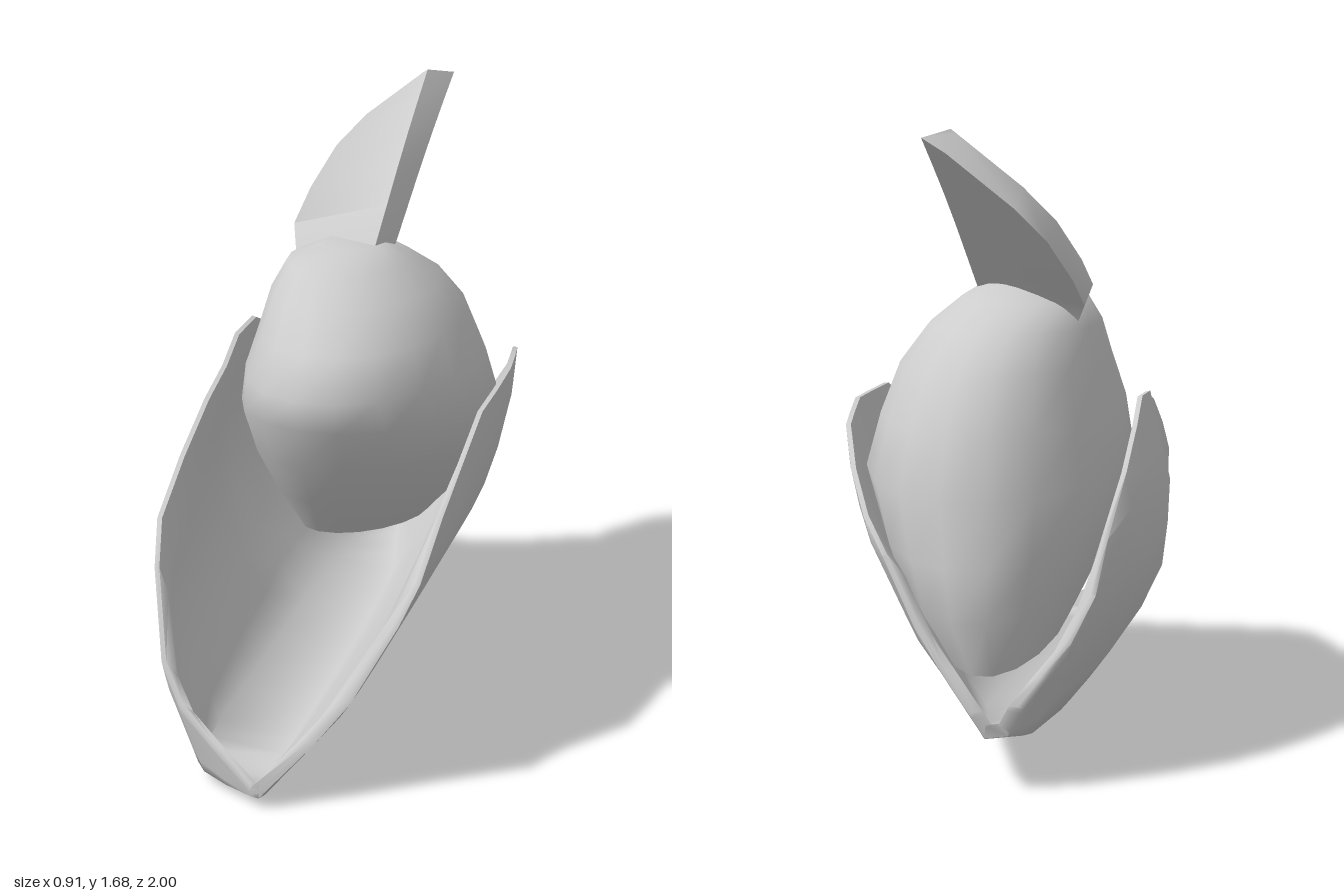
import * as THREE from 'three';
import { toCreasedNormals } from 'three/addons/utils/BufferGeometryUtils.js';

// Piecewise-linear lookup in a list of [key, value] pairs with rising keys
function lookup(table, k) {
  if (k <= table[0][0]) return table[0][1];
  for (let i = 1; i < table.length; i++) {
    const [k0, v0] = table[i - 1], [k1, v1] = table[i];
    if (k <= k1) return v0 + ((v1 - v0) * (k - k0)) / (k1 - k0);
  }
  return table[table.length - 1][1];
}

// Skin a list of closed rings; the ends can be closed by strips across the ring
function loft(rings, capStart, capEnd, crease) {
  const n = rings[0].length, index = [];
  for (let i = 0; i < rings.length - 1; i++) {
    for (let j = 0; j < n; j++) {
      const a = i * n + j, b = i * n + ((j + 1) % n), c = a + n, d = b + n;
      index.push(a, c, b, b, c, d);
    }
  }
  const last = (rings.length - 1) * n;
  for (let j = 0; j < n / 2 - 1; j++) {
    const p = j, q = j + 1, r = n - 2 - j, s = n - 1 - j;
    if (capStart) index.push(p, q, r, p, r, s);
    if (capEnd) index.push(last + p, last + r, last + q, last + p, last + s, last + r);
  }
  const g = new THREE.BufferGeometry();
  g.setAttribute('position', new THREE.Float32BufferAttribute(rings.flat(2), 3));
  g.setIndex(index);
  return toCreasedNormals(g, crease);
}

// Brim: a long trough with both sides folded up, cut to a curved top edge
function brimGeometry() {
  const floorY = [[-1, 0.14], [-0.9, 0.11], [-0.5, 0.065], [0, 0.03], [0.4, 0.01], [0.7, 0], [0.93, 0.01], [1, 0.03]];
  const sides = [
    { // model's right flap
      sign: -1,
      top: [[-1, 0.22], [-0.95, 0.34], [-0.8, 0.63], [-0.6, 0.85], [-0.4, 0.95], [-0.2, 0.94], [0.2, 0.86], [0.6, 0.68], [0.75, 0.52], [0.87, 0.25], [1, 0.05]],
      floor: [[-1, -0.14], [-0.9, -0.18], [-0.5, -0.2], [0.6, -0.2], [0.87, -0.17], [1, 0.03]],
      flare: [[0, 0], [0.21, 0.16], [0.38, 0.24], [0.6, 0.26], [0.9, 0.19]],
      scale: [[-1, 0.7], [-0.83, 0.7], [-0.65, 0.85], [-0.47, 1], [-0.2, 1], [0.05, 0.8], [0.6, 0.62], [0.87, 0.5]],
    },
    { // model's left flap
      sign: 1,
      top: [[-1, 0.2], [-0.97, 0.3], [-0.87, 0.58], [-0.8, 0.67], [-0.52, 0.87], [-0.2, 0.9], [0.2, 0.89], [0.63, 0.73], [0.73, 0.57], [0.84, 0.49], [0.89, 0.28], [1, 0.05]],
      floor: [[-1, -0.08], [-0.5, 0.02], [0, 0.035], [0.6, 0.04], [1, 0.05]],
      flare: [[0, 0], [0.25, 0.21], [0.52, 0.36], [0.72, 0.41], [0.9, 0.42]],
      scale: [[-1, 0.8], [-0.88, 0.8], [-0.78, 0.88], [-0.5, 0.92], [-0.2, 1], [1, 1]],
    },
  ];
  const stations = [1, 0.94, 0.89, 0.84, 0.73, 0.63, 0.42, 0.2, 0, -0.2, -0.37, -0.52, -0.66, -0.8, -0.87, -0.93, -0.97, -1];
  const steps = 7, thickness = 0.035;
  const rings = stations.map((z) => {
    const floorX = sides.map((s) => lookup(s.floor, z));
    // the floor rises slightly towards the model's right
    const lift = [0.14 * (floorX[1] - floorX[0]), 0];
    const [a, b] = sides.map((s, k) => {
      const y0 = lookup(floorY, z) + lift[k];
      const h = Math.max(lookup(s.top, z) - y0, 0.005), pts = [];
      for (let i = 0; i <= steps; i++) {
        const y = (h * i) / steps;
        pts.push([floorX[k] + s.sign * lookup(s.scale, z) * lookup(s.flare, y), y0 + y]);
      }
      return pts;
    });
    const outer = [...a.reverse(), ...b];
    const end = outer.length - 1;
    const inner = outer.map(([x, y], i) => {
      const p = outer[Math.max(i - 1, 0)], q = outer[Math.min(i + 1, end)];
      const dx = q[0] - p[0], dy = q[1] - p[1], len = Math.hypot(dx, dy) || 1;
      // thin out at the rim
      const t = i === 0 || i === end ? thickness * 0.4 : thickness;
      return [x - (dy / len) * t, y + (dx / len) * t];
    });
    return [...outer, ...inner.reverse()].map(([x, y]) => [x, y, z]);
  });
  return loft(rings, true, true, 1.3);
}

// Crown: oval rings leaning forward as they rise, open underneath
function crownGeometry() {
  // [y, rise towards the front, centre x, half width, back z, front z]
  const rows = [
    [0.345, 0.085, -0.04, 0.165, -0.84, 0.05],
    [0.48, 0.08, -0.01, 0.26, -0.87, 0.17],
    [0.62, 0.08, 0.0, 0.32, -0.86, 0.27],
    [0.77, 0.06, 0.015, 0.365, -0.82, 0.335],
    [0.9, 0.02, 0.01, 0.335, -0.78, 0.36],
    [1.03, 0, 0.005, 0.29, -0.68, 0.275],
    [1.13, 0, -0.02, 0.24, -0.58, 0.16],
    [1.2, 0, -0.045, 0.178, -0.45, 0.03],
    [1.245, 0, -0.03, 0.09, -0.34, -0.1],
  ];
  const n = 18;
  const rings = rows.map(([y, rise, cx, rx, zb, zf]) => Array.from({ length: n }, (_, j) => {
    const t = (j / n) * Math.PI * 2, s = Math.sin(t);
    return [cx + rx * Math.cos(t), y + rise * s, (zb + zf) / 2 + ((zf - zb) / 2) * s];
  }));
  return loft(rings, false, true, 1.1);
}

// Feather: thick blade with a nearly straight spine on one side and a curved edge on the other
function featherGeometry() {
  const edge = [[-0.17, 1.1, -0.2], [-0.22, 1.18, -0.25], [-0.26, 1.25, -0.36], [-0.25, 1.33, -0.5], [-0.2, 1.44, -0.61], [-0.12, 1.53, -0.66], [0.06, 1.67, -0.655]];
  const add = (p, q) => p.map((v, i) => v + q[i]);
  const rings = edge.map((left, i) => {
    const t = i / (edge.length - 1);
    const right = [0.02 + 0.055 * Math.sqrt(t), 1.14 + 0.54 * t + 0.03 * Math.sin(Math.PI * t), -0.08 - 0.57 * t];
    return [
      add(right, [0.03 + 0.03 * t, -0.02, -0.09]),
      right,
      left,
      add(left, [0.01, -0.05, -0.085]),
    ];
  });
  return loft(rings, true, true, 1.4);
}

export function createModel() {
  const felt = new THREE.MeshStandardMaterial({ color: 0xcccccc });
  felt.name = 'lightGrey';
  const hat = new THREE.Group();
  hat.name = 'featheredHat';
  const parts = { brim: brimGeometry(), crown: crownGeometry(), feather: featherGeometry() };
  for (const [name, geometry] of Object.entries(parts)) {
    const mesh = new THREE.Mesh(geometry, felt);
    mesh.name = name;
    hat.add(mesh);
  }
  return hat;
}
